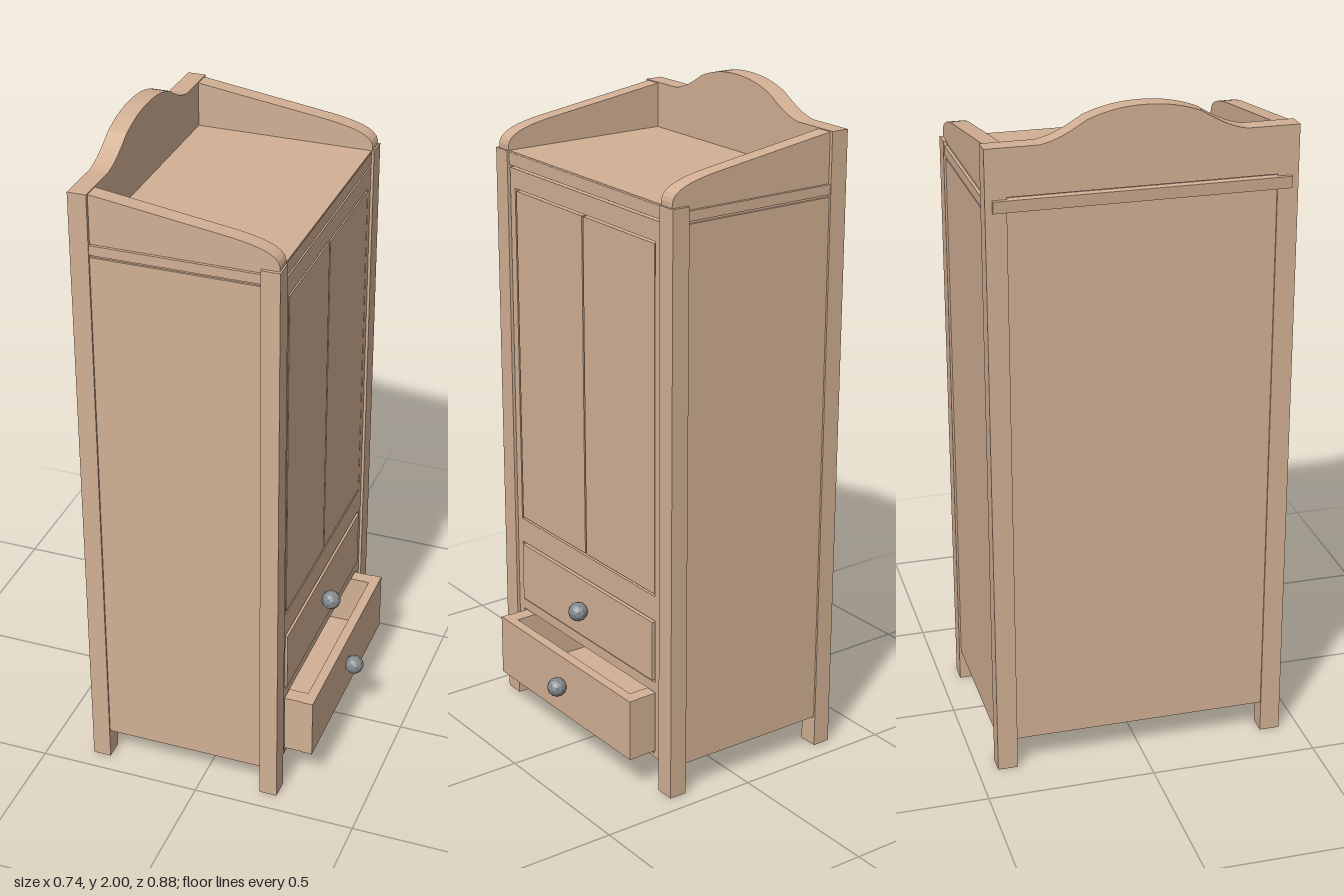
import * as THREE from 'three';

const wood = new THREE.MeshStandardMaterial({ color: 0xd2b094 });
const metal = new THREE.MeshStandardMaterial({ color: 0x85898c, flatShading: true });

// The doors and drawers face +x.
export function createModel() {
  const group = new THREE.Group();

  const add = (name, geometry, material = wood) => {
    const mesh = new THREE.Mesh(geometry, material);
    mesh.name = name;
    group.add(mesh);
    return mesh;
  };

  // Box given by its extents along each axis
  const box = (name, x0, x1, y0, y1, z0, z1) => {
    const mesh = add(name, new THREE.BoxGeometry(x1 - x0, y1 - y0, z1 - z0));
    mesh.position.set((x0 + x1) / 2, (y0 + y1) / 2, (z0 + z1) / 2);
    return mesh;
  };

  // Outline in the width-height plane, extruded from x0 to x1
  const slab = (name, shape, x0, x1) => {
    const geometry = new THREE.ExtrudeGeometry(shape, { depth: x1 - x0, bevelEnabled: false, curveSegments: 8 });
    geometry.rotateY(Math.PI / 2).translate(x0, 0, 0);
    return add(name, geometry);
  };

  const rectangle = (Type, w, y0, y1) => new Type([[-w, y0], [w, y0], [w, y1], [-w, y1]]
    .map(([a, b]) => new THREE.Vector2(a, b)));

  // Corner posts and side parts
  for (const s of [-1, 1]) {
    const side = (name, x0, x1, y0, y1, a, b) =>
      box(name, x0, x1, y0, y1, Math.min(s * a, s * b), Math.max(s * a, s * b));
    side('backPost', -0.36, -0.305, 0, 1.775, 0.38, 0.44);
    side('frontPost', 0.185, 0.24, 0, 1.775, 0.38, 0.44);
    side('sidePanel', -0.31, 0.19, 0.095, 1.725, 0.4, 0.434);
    side('sideRecess', -0.31, 0.19, 1.72, 1.775, 0.38, 0.428);
    side('sideTrim', -0.305, 0.185, 1.733, 1.762, 0.4, 0.437);

    // Sloping side board with a rounded front end
    const board = new THREE.Shape();
    board.moveTo(-0.31, 1.77);
    board.lineTo(0.235, 1.77);
    board.lineTo(0.235, 1.79);
    board.bezierCurveTo(0.23, 1.825, 0.17, 1.84, 0.1, 1.852);
    board.lineTo(-0.31, 1.91);
    const geometry = new THREE.ExtrudeGeometry(board, { depth: 0.05, bevelEnabled: false, curveSegments: 8 });
    add('sideBoard', geometry).position.z = s > 0 ? 0.38 : -0.43;
  }

  // Carcass
  box('upperCore', -0.34, 0.218, 0.32, 1.77, -0.4, 0.4);
  box('bottomPanel', -0.34, 0.232, 0.095, 0.108, -0.4, 0.4);
  box('backPanel', -0.355, -0.33, 0.095, 1.73, -0.38, 0.38);
  box('topPanel', -0.35, 0.232, 1.74, 1.775, -0.425, 0.425);
  box('backTrim', -0.368, -0.34, 1.735, 1.77, -0.42, 0.42).rotation.z = 0.1;

  // Front frame with openings for doors and drawers
  const frame = rectangle(THREE.Shape, 0.376, 0.095, 1.726);
  for (const [y0, y1] of [[0.105, 0.308], [0.34, 0.538], [0.615, 1.667]]) {
    frame.holes.push(rectangle(THREE.Path, 0.351, y0, y1));
  }
  slab('frontFrame', frame, 0.205, 0.233);
  box('frontTopRail', 0.2, 0.233, 1.733, 1.77, -0.38, 0.38);

  // Pair of doors with a narrow gap
  box('leftDoor', 0.2, 0.233, 0.622, 1.66, -0.348, -0.003);
  box('rightDoor', 0.2, 0.233, 0.622, 1.66, 0.003, 0.345);

  // Closed upper drawer
  box('upperDrawerFront', 0.2, 0.238, 0.346, 0.532, -0.345, 0.345);

  // Open lower drawer
  box('lowerDrawerFront', 0.29, 0.32, 0.112, 0.302, -0.348, 0.348);
  box('lowerDrawerBottom', -0.25, 0.295, 0.112, 0.135, -0.345, 0.345);
  box('lowerDrawerBack', -0.25, -0.21, 0.112, 0.302, -0.345, 0.345);
  box('lowerDrawerRightWall', -0.25, 0.295, 0.112, 0.302, 0.3, 0.346);
  box('lowerDrawerLeftWall', -0.25, 0.295, 0.112, 0.302, -0.346, -0.305);

  // Faceted drawer knobs
  for (const [name, x, y] of [['upperKnob', 0.262, 0.438], ['lowerKnob', 0.342, 0.209]]) {
    add(name, new THREE.IcosahedronGeometry(0.03, 1), metal).position.set(x, y, 0.003);
  }

  // Arched crest board along the back
  const crest = new THREE.Shape();
  crest.moveTo(-0.44, 1.775);
  crest.lineTo(0.44, 1.775);
  crest.lineTo(0.44, 1.912);
  crest.lineTo(0.29, 1.912);
  crest.bezierCurveTo(0.24, 1.92, 0.2, 1.945, 0.16, 1.97);
  crest.bezierCurveTo(0.11, 1.99, 0.06, 2, 0, 2);
  crest.bezierCurveTo(-0.06, 2, -0.11, 1.99, -0.16, 1.97);
  crest.bezierCurveTo(-0.2, 1.945, -0.24, 1.92, -0.29, 1.912);
  crest.lineTo(-0.44, 1.912);
  slab('crestBoard', crest, -0.36, -0.305);

  return group;
}
